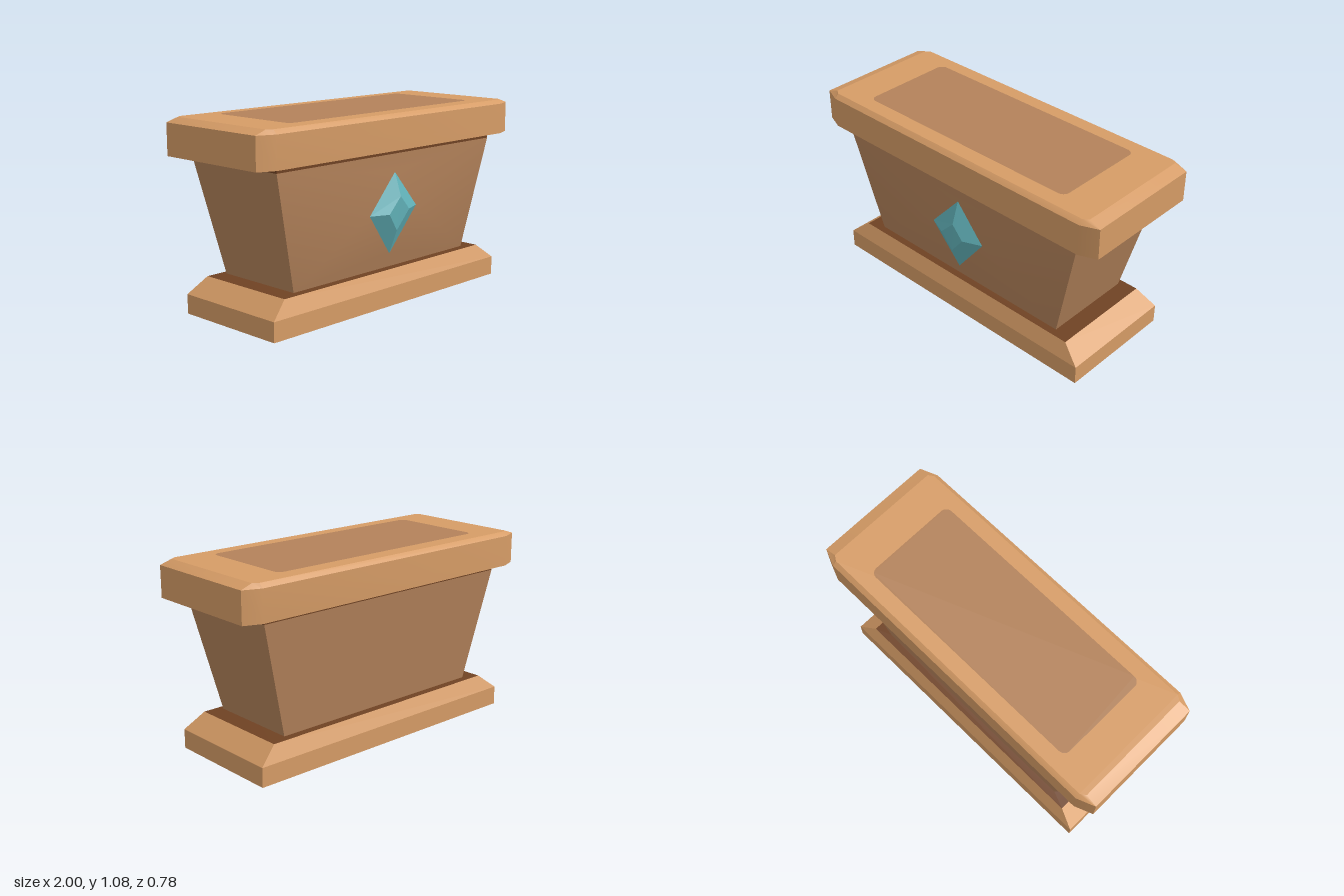
import * as THREE from 'three';
import { mergeGeometries, toCreasedNormals } from 'three/addons/utils/BufferGeometryUtils.js';

const material = (name, color) =>
  new THREE.MeshStandardMaterial({ name, color, side: THREE.DoubleSide });

// Ring of corners at height y, counterclockwise seen from below-outside
const rect = (x, z, y) => [[-x, y, z], [x, y, z], [x, y, -z], [-x, y, -z]];
const chamferedRect = (x, z, cx, cz, y) => [
  [-x + cx, y, z], [x - cx, y, z], [x, y, z - cz], [x, y, -z + cz],
  [x - cx, y, -z], [-x + cx, y, -z], [-x, y, -z + cz], [-x, y, z - cz],
];

function fromTriangles(points, crease) {
  const geometry = new THREE.BufferGeometry();
  geometry.setAttribute('position', new THREE.Float32BufferAttribute(points.flat(), 3));
  return toCreasedNormals(geometry, crease);
}

// Strip of quads joining two matching rings; skip leaves out one side
function band(lower, upper, { skip = -1, crease = 0.42 } = {}) {
  const points = [];
  lower.forEach((a, i) => {
    if (i === skip) return;
    const j = (i + 1) % lower.length;
    points.push(a, lower[j], upper[i], lower[j], upper[j], upper[i]);
  });
  return fromTriangles(points, crease);
}

// Flat fan closing a ring
function cap(ring) {
  const points = [];
  for (let i = 1; i < ring.length - 1; i++) points.push(ring[0], ring[i], ring[i + 1]);
  return fromTriangles(points, 0.1);
}

export function createModel() {
  const group = new THREE.Group();
  const lightWood = material('light wood', 0xd69c66);
  const brownWood = material('brown wood', 0xb3825a);
  const darkWood = material('dark wood', 0x6f4223);
  const teal = material('teal gem', 0x62b3ba);

  const add = (name, mat, ...parts) => {
    const mesh = new THREE.Mesh(mergeGeometries(parts), mat);
    mesh.name = name;
    group.add(mesh);
  };

  // Hollow plinth with a sloped shoulder
  const shoulder = rect(0.9, 0.35, 0.11);
  const plinthTop = rect(0.79, 0.31, 0.197);
  add('plinth', lightWood, band(rect(0.9, 0.35, 0), shoulder), band(shoulder, plinthTop));

  // Dark ledge between plinth and body
  const bodyBottom = rect(0.69, 0.27, 0.2);
  add('plinthLedge', darkWood, band(plinthTop, bodyBottom));

  // Flared body; its front wall swells out to meet the gem
  const bodyTop = rect(0.85, 0.33, 0.852);
  const gemOutline = [[0, 0.29, 0.31], [0.2, 0.54, 0.33], [0.02, 0.75, 0.33], [-0.18, 0.53, 0.33]];
  const frontOutline = [bodyBottom[0], bodyBottom[1], bodyTop[1], bodyTop[0]];
  add('body', brownWood,
    band(bodyBottom, bodyTop, { skip: 0 }),
    band(frontOutline, gemOutline, { crease: 0.8 }));

  // Dark rim under the lid
  add('bodyRim', darkWood, band(bodyTop, rect(0.85, 0.33, 0.885)));

  // Faceted diamond gem
  const gemFace = [[0, 0.43, 0.365], [0.09, 0.54, 0.375], [0.02, 0.62, 0.375], [-0.07, 0.53, 0.375]];
  add('gem', teal, band(gemOutline, gemFace, { crease: 0.05 }), cap(gemFace));

  // Hollow lid with clipped corners and a bevelled top
  const lidEdge = chamferedRect(1, 0.39, 0.1, 0.04, 1.057);
  const lidTop = chamferedRect(0.93, 0.365, 0.03, 0.02, 1.08);
  add('lid', lightWood,
    band(chamferedRect(1, 0.39, 0.1, 0.04, 0.88), lidEdge),
    band(lidEdge, lidTop),
    cap(lidTop));

  // Thin rounded panel on the lid
  const x = 0.715, z = 0.28, r = 0.04;
  const panel = new THREE.Shape();
  panel.absarc(x - r, z - r, r, 0, Math.PI / 2);
  panel.absarc(-x + r, z - r, r, Math.PI / 2, Math.PI);
  panel.absarc(-x + r, -z + r, r, Math.PI, Math.PI * 1.5);
  panel.absarc(x - r, -z + r, r, Math.PI * 1.5, Math.PI * 2);
  const panelGeometry = new THREE.ShapeGeometry(panel, 6);
  panelGeometry.rotateX(-Math.PI / 2).translate(0, 1.083, 0);
  add('lidPanel', brownWood, panelGeometry);

  return group;
}
